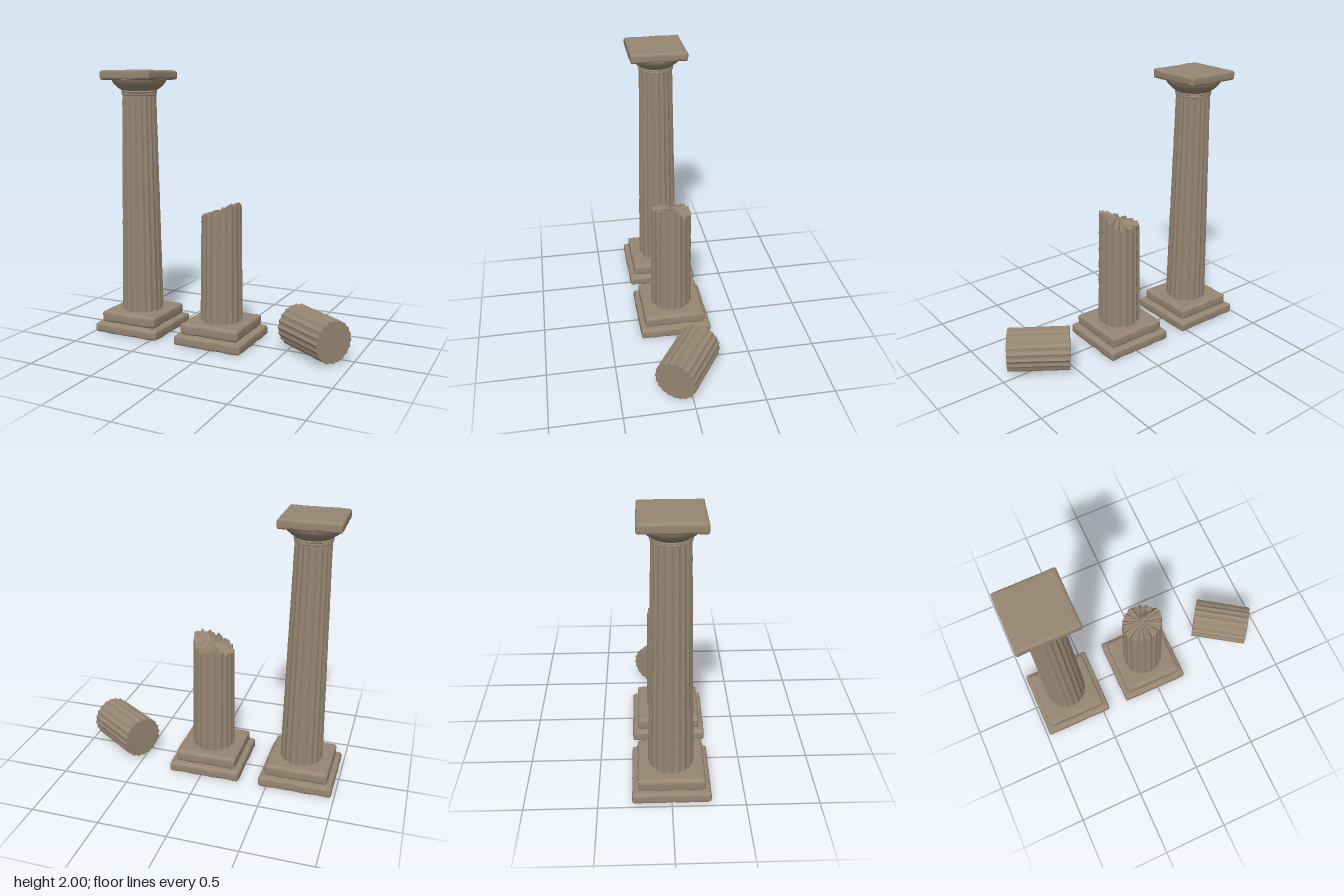
import * as THREE from 'three';
import { mergeVertices, toCreasedNormals } from 'three/addons/utils/BufferGeometryUtils.js';

const FLUTES = 20, STEPS = 6;

// Smooth wavering value in about -1..1
const waver = (a, b, c) =>
  (Math.sin(a * 23 + c * 1.7) + Math.sin(b * 27 + c * 2.9 + 1) + Math.sin((a + b) * 41 + c * 4.1)) / 3;

// Worn stone slab: a rounded box whose rims are unevenly rubbed away
function slabGeometry(w, h, d, radius, seed) {
  let geo = new THREE.BoxGeometry(2, 2, 2, 28, 8, 28);
  geo.deleteAttribute('uv');
  geo.deleteAttribute('normal');
  geo = mergeVertices(geo);
  const pos = geo.attributes.position;
  const half = new THREE.Vector3(w / 2, h / 2, d / 2);
  const inner = half.clone().subScalar(radius);
  const p = new THREE.Vector3(), core = new THREE.Vector3();
  const dense = (t) => Math.sin(t * Math.PI / 2);
  for (let i = 0; i < pos.count; i++) {
    p.fromBufferAttribute(pos, i);
    p.set(dense(p.x), dense(p.y), dense(p.z)).multiply(half);
    core.copy(p).clamp(inner.clone().negate(), inner);
    p.sub(core).setLength(radius).add(core);
    const edge = Math.max(Math.abs(p.x) / half.x, Math.abs(p.z) / half.z);
    const rim = THREE.MathUtils.smoothstep(edge, 0.86, 1);
    const wear = 0.5 + 0.5 * waver(p.x, p.z, seed + Math.sign(p.y));
    p.y *= 1 - 0.28 * rim * wear;
    const rub = 1 - 0.018 * rim * (0.5 + 0.5 * waver(p.z, p.x, seed + 5));
    p.x *= rub;
    p.z *= rub;
    pos.setXYZ(i, p.x, p.y, p.z);
  }
  geo.computeVertexNormals();
  return geo;
}

// Closed fluted shaft standing on y = 0; topAt(x, z, angle) gives its upper surface
function flutedGeometry(r0, r1, rows, topAt) {
  const rings = [[0, 0], [1, 0]];
  for (let i = 1; i <= rows; i++) rings.push([1, i / rows]);
  for (const s of [0.75, 0.5, 0.25, 0]) rings.push([s, 1]);
  const n = FLUTES * STEPS, verts = [], index = [];
  rings.forEach(([scale, v]) => {
    for (let j = 0; j < n; j++) {
      const a = (j / n) * Math.PI * 2;
      const u = (j % STEPS) / STEPS;
      const worn = u === 0 ? 0.0015 * (1 + waver(v * 2, j, 3)) : 0;
      const r = (THREE.MathUtils.lerp(r0, r1, v) - 0.011 * Math.sin(Math.PI * u) - worn) * scale;
      const x = Math.cos(a) * r, z = Math.sin(a) * r;
      verts.push(x, v * topAt(x, z, a), z);
    }
  });
  for (let i = 0; i < rings.length - 1; i++) {
    for (let j = 0; j < n; j++) {
      const a = i * n + j, b = i * n + (j + 1) % n;
      if (rings[i][0] > 0) index.push(a, a + n, b);
      if (rings[i + 1][0] > 0) index.push(b, a + n, b + n);
    }
  }
  const geo = new THREE.BufferGeometry();
  geo.setAttribute('position', new THREE.Float32BufferAttribute(verts, 3));
  geo.setIndex(index);
  return toCreasedNormals(geo, 0.6);
}

export function createModel() {
  const model = new THREE.Group();
  const stone = new THREE.MeshStandardMaterial({ color: 0x968672 });
  stone.name = 'weathered stone';

  const add = (parent, name, geo, y = 0) => {
    const mesh = new THREE.Mesh(geo, stone);
    mesh.name = name;
    mesh.position.y = y;
    parent.add(mesh);
    return mesh;
  };
  const column = (name, x, seed) => {
    const group = new THREE.Group();
    group.name = name;
    group.position.x = x;
    add(group, 'lowerPlinth', slabGeometry(0.54, 0.082, 0.54, 0.018, seed), 0.043);
    add(group, 'upperPlinth', slabGeometry(0.465, 0.09, 0.465, 0.018, seed + 2), 0.125);
    model.add(group);
    return group;
  };

  // Whole column
  const whole = column('wholeColumn', -0.71, 1);
  add(whole, 'shaft', flutedGeometry(0.16, 0.128, 24, () => 1.665), 0.16);
  const profile = [
    [0, 1.815], [0.124, 1.815], [0.131, 1.819], [0.131, 1.828], [0.127, 1.831], [0.134, 1.835],
    [0.134, 1.845], [0.13, 1.849], [0.138, 1.857], [0.16, 1.872], [0.184, 1.895], [0.2, 1.917],
    [0.205, 1.932], [0.198, 1.95], [0, 1.95],
  ].map(([r, y]) => new THREE.Vector2(r, y));
  add(whole, 'capitalBell', toCreasedNormals(new THREE.LatheGeometry(profile, 64), 0.6));
  add(whole, 'capitalSlab', slabGeometry(0.425, 0.072, 0.425, 0.014, 7), 1.964);

  // Broken column, snapped along a ragged slope
  const broken = column('brokenColumn', -0.025, 4);
  const brokenTop = (x, z, a) => {
    const drop = THREE.MathUtils.smoothstep(-z, 0.02, 0.07) * THREE.MathUtils.smoothstep(x, -0.08, 0.1);
    const jag = 0.011 * (Math.sin(a * 13) + 0.7 * Math.sin(a * 29 + 2)) * Math.min(1, Math.hypot(x, z) / 0.14);
    return 0.835 + 0.4 * x - 0.07 * drop + jag;
  };
  add(broken, 'brokenShaft', flutedGeometry(0.16, 0.15, 20, brokenTop), 0.16);

  // Fallen drum lying on its side
  const drum = add(model, 'fallenDrum', flutedGeometry(0.159, 0.157, 12, () => 0.447).translate(0, -0.2235, 0));
  drum.position.set(0.7, 0.165, 0);
  drum.quaternion.setFromUnitVectors(
    new THREE.Vector3(0, 1, 0), new THREE.Vector3(0.83, 0, 0.56).normalize());

  return model;
}
